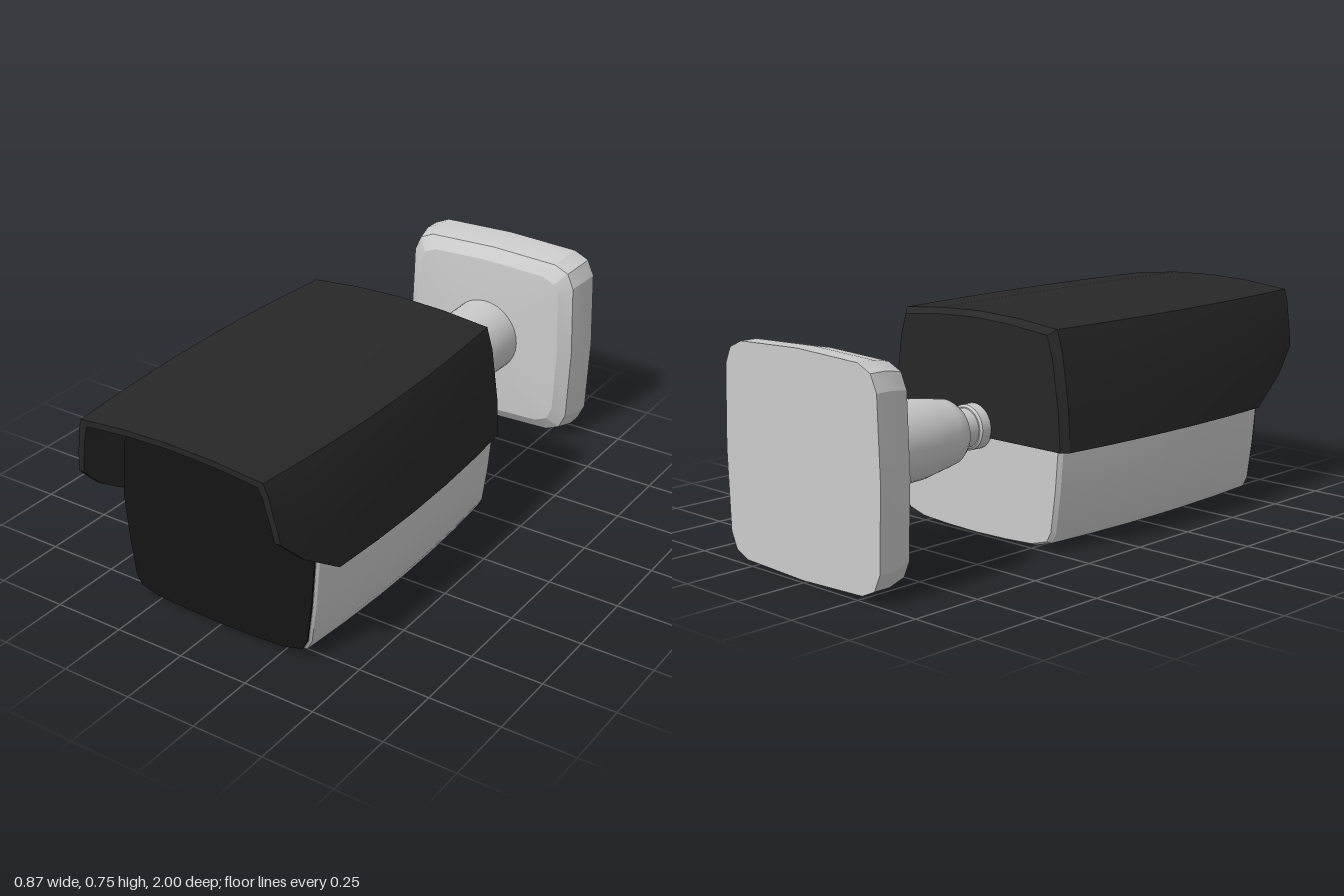
import * as THREE from 'three';
import { toCreasedNormals } from 'three/addons/utils/BufferGeometryUtils.js';

// Skin a list of equal loops (counter-clockwise seen from +z, back to front) and cap both ends
function loft(rings, crease = 0.4) {
  const n = rings[0].length;
  const index = [];
  const tri = (a, b, c) => { if (a !== b && b !== c && c !== a) index.push(a, b, c); };
  for (let i = 0; i < rings.length - 1; i++) {
    for (let j = 0; j < n; j++) {
      const k = (j + 1) % n;
      const a = i * n + j, b = i * n + k, c = b + n, d = a + n;
      tri(a, b, c);
      tri(a, c, d);
    }
  }
  const last = (rings.length - 1) * n;
  for (let j = 0; j + 1 <= n - 2 - j; j++) {
    const a = j, b = j + 1, c = n - 2 - j, d = n - 1 - j;
    tri(last + a, last + b, last + c);
    tri(last + a, last + c, last + d);
    tri(c, b, a);
    tri(d, c, a);
  }
  const geometry = new THREE.BufferGeometry();
  geometry.setAttribute('position', new THREE.Float32BufferAttribute(rings.flat(2), 3));
  geometry.setIndex(index);
  return toCreasedNormals(geometry.toNonIndexed(), crease);
}

// Piecewise linear lookup in a list of [key, value]
function lookup(table, key) {
  for (let i = 1; i < table.length; i++) {
    const [k0, v0] = table[i - 1], [k1, v1] = table[i];
    if (key <= k1) return v0 + (v1 - v0) * (key - k0) / (k1 - k0);
  }
  return table[table.length - 1][1];
}

const mirrorX = ([x, y]) => [-x, y];

export function createModel() {
  const model = new THREE.Group();
  const grey = new THREE.MeshStandardMaterial({ color: 0xcccccc });
  const dark = new THREE.MeshStandardMaterial({ color: 0x272727, side: THREE.DoubleSide });
  const black = new THREE.MeshStandardMaterial({ color: 0x141414 });
  const add = (name, geometry, material) => {
    const mesh = new THREE.Mesh(geometry, material);
    mesh.name = name;
    model.add(mesh);
    return mesh;
  };

  // Housing: barrel-sided box, widest halfway along its length
  const half = [[0, 0], [0.15, 0.003], [0.28, 0.01], [0.355, 0.03], [0.375, 0.065], [0.395, 0.2],
    [0.41, 0.36], [0.395, 0.53], [0.36, 0.69], [0.34, 0.705], [0.18, 0.72], [0, 0.725]];
  const section = [...half, ...half.slice(1, -1).reverse().map(mirrorX)];
  const bodyRing = (z, inset = 0) => {
    const s = 1 - 0.27 * (z - 0.27) ** 2 - inset;
    return section.map(([x, y]) => [x * s, 0.36 + (y - 0.36) * (1 - inset), z]);
  };
  add('housing', loft([bodyRing(-0.255, 0.02), bodyRing(-0.24), bodyRing(-0.06), bodyRing(0.12),
    bodyRing(0.27), bodyRing(0.42), bodyRing(0.6), bodyRing(0.785), bodyRing(0.794, 0.015)]), grey);
  add('frontWindow', loft([bodyRing(0.79, 0.018), bodyRing(0.8, 0.018)]), black);

  // Sun hood: thin shell over the housing, its lower edge swept up towards the front
  const hoodSide = [[0.34, 0.437], [0.52, 0.425], [0.68, 0.395], [0.73, 0.375]];
  const hoodScale = z => 1 - 0.22 * (z - 0.35) ** 2;
  const hoodArc = (z, bottom, inset, tilt = 0) => {
    const s = hoodScale(z);
    const right = [0, 0.35, 0.8, 1].map(t => {
      const y = bottom + (0.73 - bottom) * t;
      return [lookup(hoodSide, y) * s - inset, y - inset * t];
    });
    const corner = right[3][0];
    right.push([corner * 0.5, 0.747 - inset]);
    const arc = [...right, [0, 0.753 - inset], ...right.slice().reverse().map(mirrorX)];
    return arc.map(([x, y]) => [x, y, z - tilt * (0.753 - y)]);
  };
  const hoodRing = (z, bottom, tilt = 0) =>
    [...hoodArc(z, bottom, 0, tilt), ...hoodArc(z, bottom, 0.021, tilt).reverse()];
  add('sunHood', loft([hoodRing(-0.235, 0.34), hoodRing(-0.06, 0.34), hoodRing(0.15, 0.34),
    hoodRing(0.35, 0.34), hoodRing(0.55, 0.34), hoodRing(0.74, 0.34), hoodRing(0.89, 0.44),
    hoodRing(1, 0.53, 0.09)]), dark);
  add('hoodBack', loft([hoodArc(-0.26, 0.34, 0.018), hoodArc(-0.235, 0.34, 0)]), dark);

  // Wall plate: rounded square with slightly bowed sides and a bevelled front
  const quarter = [[0.36, 0], [0.35, 0.27], [0.325, 0.325], [0.27, 0.35]];
  const outline = [];
  for (let q = 0; q < 4; q++) {
    const c = Math.round(Math.cos(q * Math.PI / 2)), s = Math.round(Math.sin(q * Math.PI / 2));
    quarter.forEach(([x, y]) => outline.push([x * c - y * s, x * s + y * c]));
  }
  const plateRings = [[-1, 1], [-0.94, 1], [-0.87, 0.96], [-0.838, 0.84], [-0.825, 0.4]].map(
    ([z, s]) => outline.map(([x, y]) => [x * s, 0.367 + y * s, z]));
  add('wallPlate', loft(plateRings, 0.35), grey);

  // Arm and swivel joint, turned about the z axis
  const turned = (name, profile) => {
    const points = profile.map(([r, z]) => new THREE.Vector2(r, z));
    const geometry = new THREE.LatheGeometry(points, 32).rotateX(Math.PI / 2);
    const mesh = add(name, toCreasedNormals(geometry.toNonIndexed(), 0.6), grey);
    mesh.position.y = 0.372;
  };
  turned('arm', [[0, -0.84], [0.14, -0.84], [0.138, -0.7], [0.133, -0.54], [0.125, -0.49],
    [0.116, -0.43], [0.11, -0.395], [0.098, -0.375], [0.08, -0.363], [0, -0.363]]);
  turned('swivelNeck', [[0, -0.38], [0.066, -0.38], [0.066, -0.29], [0, -0.29]]);
  turned('swivelCollar', [[0, -0.305], [0.07, -0.305], [0.077, -0.298], [0.077, -0.245], [0, -0.245]]);

  return model;
}
